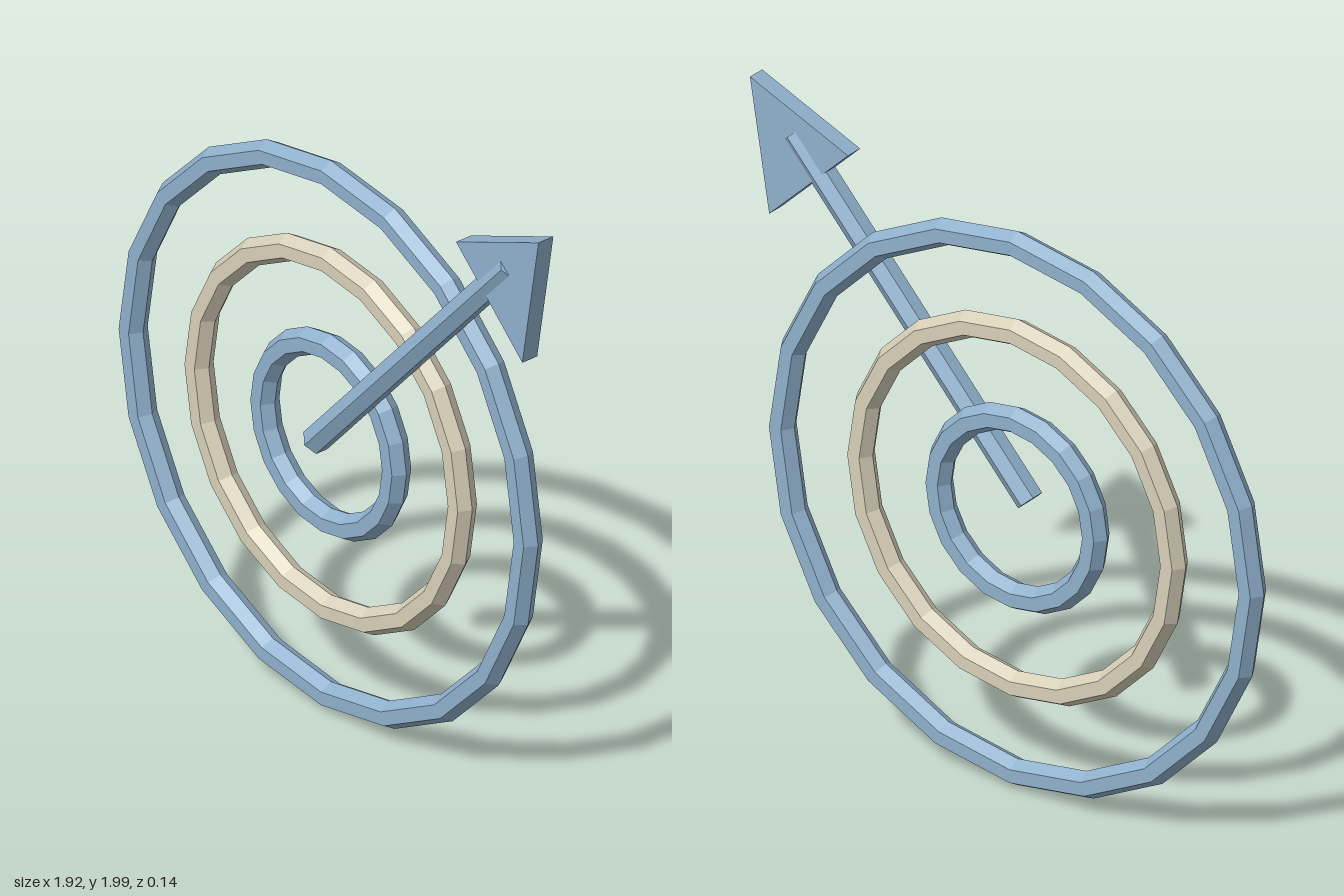
import * as THREE from 'three';

const blue = new THREE.MeshStandardMaterial({ color: 0x8fb0cc, flatShading: true });
const beige = new THREE.MeshStandardMaterial({ color: 0xd6cfb8, flatShading: true });

const TUBE = 0.0433; // shared radius of the six-sided bars
const CENTER = new THREE.Vector2(-0.052, 0.917);

export function createModel() {
  const model = new THREE.Group();
  const add = (name, geometry, material, parent) => {
    const mesh = new THREE.Mesh(geometry, material);
    mesh.name = name;
    parent.add(mesh);
    return mesh;
  };

  // Three concentric target rings, evenly spaced
  const target = new THREE.Group();
  target.name = 'target';
  target.position.set(CENTER.x, CENTER.y, -0.033);
  model.add(target);
  ['innerRing', 'middleRing', 'outerRing'].forEach((name, i) => {
    const geometry = new THREE.TorusGeometry(0.289 * (i + 1), TUBE, 6, 20);
    add(name, geometry, i === 1 ? beige : blue, target);
  });

  // Arrow running from the centre to the upper corner
  const arrow = new THREE.Group();
  arrow.name = 'arrow';
  arrow.position.z = 0.027;
  model.add(arrow);

  // Six-sided shaft
  const end = new THREE.Vector2(0.812, 1.854);
  const along = end.clone().sub(CENTER);
  const shaft = add('arrowShaft', new THREE.CylinderGeometry(TUBE, TUBE, along.length(), 6), blue, arrow);
  shaft.position.set((CENTER.x + end.x) / 2, (CENTER.y + end.y) / 2, 0);
  shaft.rotation.z = along.angle() - Math.PI / 2;

  // Flat triangular head
  const outline = new THREE.Shape([
    new THREE.Vector2(0.96, 2),
    new THREE.Vector2(0.598, 1.855),
    new THREE.Vector2(0.889, 1.572),
  ]);
  const head = new THREE.ExtrudeGeometry(outline, { depth: 0.058, bevelEnabled: false });
  head.translate(0, 0, -0.029);
  add('arrowHead', head, blue, arrow);

  return model;
}
